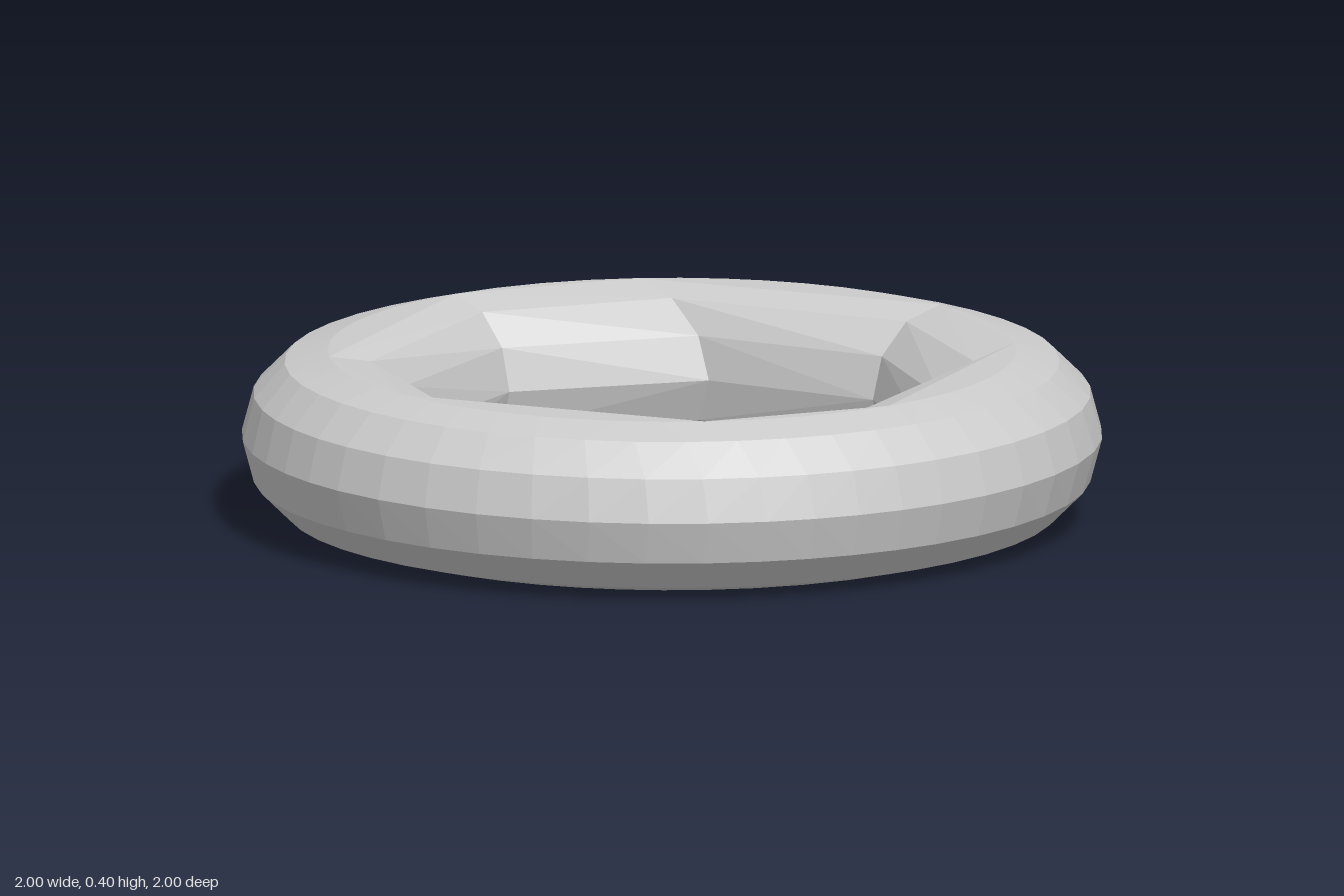
import * as THREE from 'three';
import { ConvexGeometry } from 'three/addons/geometries/ConvexGeometry.js';

const RING = 0.8, TUBE = 0.2, SIDES = 12;
const CUT = 0.44; // plane x = CUT that splits each quarter in two

// Convex block of the ring between two end faces; startAt and endAt give the
// sweep angle of each end face for a given distance from the ring's axis.
function segmentGeometry(startAt, endAt, steps) {
  const points = [];
  for (let i = 0; i < SIDES; i++) {
    const v = (i / SIDES) * Math.PI * 2;
    const r = RING + TUBE * Math.cos(v);
    const y = TUBE + TUBE * Math.sin(v);
    for (let j = 0; j <= steps; j++) {
      // the inner side spans straight between the two end faces
      if (Math.cos(v) < -0.1 && j > 0 && j < steps) continue;
      const a = THREE.MathUtils.lerp(startAt(r), endAt(r), j / steps);
      points.push(new THREE.Vector3(r * Math.cos(a), y, -r * Math.sin(a)));
    }
  }
  return new ConvexGeometry(points);
}

export function createModel() {
  const group = new THREE.Group();
  group.name = 'segmentedRing';
  const material = new THREE.MeshStandardMaterial({ color: 0xcccccc, flatShading: true });

  const cutAngle = (r) => Math.acos(CUT / r);
  const longSegment = segmentGeometry(() => 0, cutAngle, 8);
  const shortSegment = segmentGeometry(cutAngle, () => Math.PI / 2, 4);

  // Four quarter turns of the same pair of blocks
  for (let q = 0; q < 4; q++) {
    const quarter = new THREE.Group();
    quarter.name = `ringQuarter${q + 1}`;
    quarter.rotation.y = (q * Math.PI) / 2;
    for (const [name, geometry] of [['longSegment', longSegment], ['shortSegment', shortSegment]]) {
      const mesh = new THREE.Mesh(geometry, material);
      mesh.name = name;
      quarter.add(mesh);
    }
    group.add(quarter);
  }
  return group;
}
